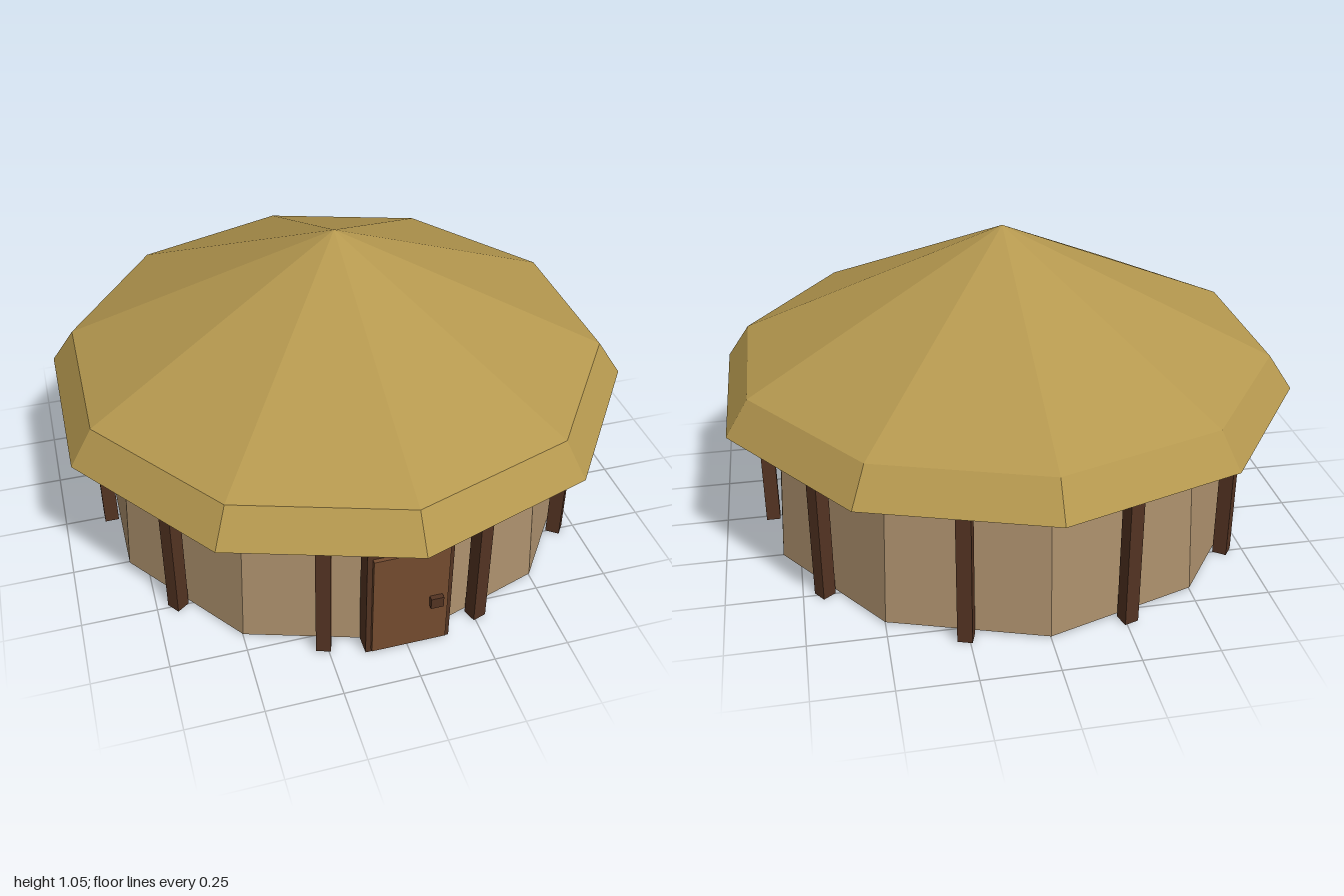
import * as THREE from 'three';

const SIDES = 10;

function material(name, color) {
  const m = new THREE.MeshStandardMaterial({ color, flatShading: true });
  m.name = name;
  return m;
}

export function createModel() {
  const thatch = material('thatch', 0xb5984f);
  const clay = material('clay', 0xab8f6c);
  const darkWood = material('dark wood', 0x533322);
  const doorWood = material('door wood', 0x744b2f);

  const hut = new THREE.Group();
  hut.name = 'roundHut';

  function add(name, geometry, mat, x, y, z, parent = hut) {
    const mesh = new THREE.Mesh(geometry, mat);
    mesh.name = name;
    mesh.position.set(x, y, z);
    parent.add(mesh);
    return mesh;
  }

  // Ten-sided wall, slightly tapered towards the top
  const wallBottom = 0.008, eaveY = 0.51;
  const wallHeight = eaveY - wallBottom + 0.005;
  add('wall', new THREE.CylinderGeometry(0.82, 0.85, wallHeight, SIDES), clay,
    0, wallBottom + wallHeight / 2, 0);

  // Roof: closed underside, steep eave band and shallow cone
  const roofProfile = [[0, eaveY], [1, eaveY], [0.92, 0.628], [0, 1.055]]
    .map(([r, y]) => new THREE.Vector2(r, y));
  add('roof', new THREE.LatheGeometry(roofProfile, SIDES), thatch, 0, 0, 0);

  // Square posts in front of the middle of each wall panel
  const postHeight = 0.512, postRadius = 0.839;
  const postGeometry = new THREE.BoxGeometry(0.048, postHeight, 0.048);
  for (let i = 0; i < SIDES; i++) {
    const a = ((i + 0.5) / SIDES) * Math.PI * 2;
    const post = add('post', postGeometry, darkWood,
      Math.sin(a) * postRadius, postHeight / 2, Math.cos(a) * postRadius);
    post.rotation.y = a;
  }

  // Door: frame, raised panel and handle
  const door = new THREE.Group();
  door.name = 'door';
  hut.add(door);
  add('doorFrame', new THREE.BoxGeometry(0.28, 0.42, 0.066), darkWood, 0, 0.215, 0.833, door);
  add('doorPanel', new THREE.BoxGeometry(0.246, 0.39, 0.03), doorWood, 0, 0.215, 0.865, door);
  add('doorHandle', new THREE.BoxGeometry(0.042, 0.04, 0.03), darkWood, 0.083, 0.197, 0.882, door);

  return hut;
}
